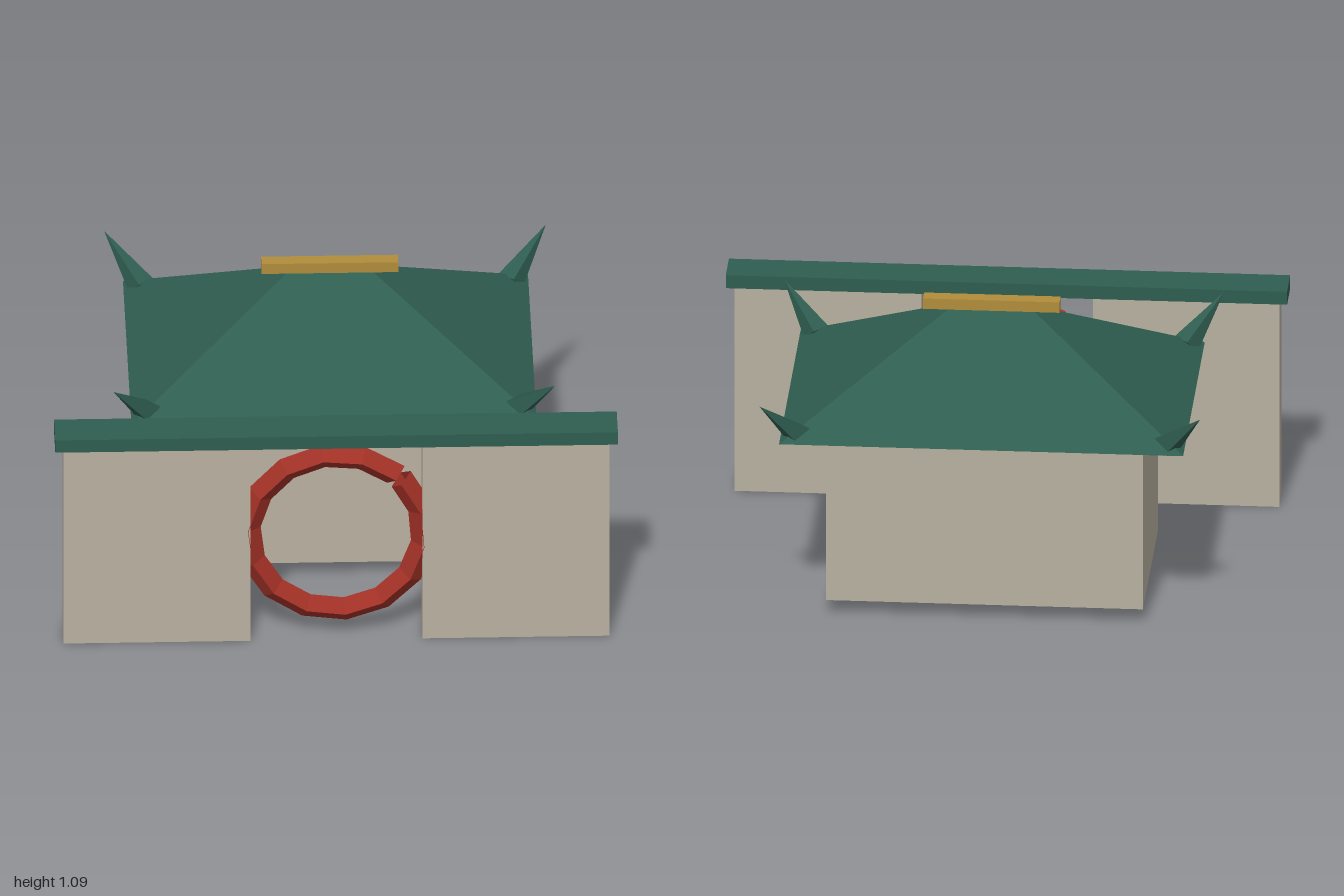
import * as THREE from 'three';

const material = (name, color, extra = {}) => {
  const m = new THREE.MeshStandardMaterial({ color, flatShading: true, ...extra });
  m.name = name;
  return m;
};

export function createModel() {
  const plaster = material('plaster', 0xb8b0a0);
  const tile = material('green tile', 0x2f5d50);
  const red = material('red lacquer', 0xa03026, { side: THREE.DoubleSide });
  const gold = material('gold', 0xb08d3c);

  const model = new THREE.Group();
  model.name = 'gatehouse';
  const add = (name, geometry, mat, x, y, z) => {
    const mesh = new THREE.Mesh(geometry, mat);
    mesh.name = name;
    mesh.position.set(x, y, z);
    model.add(mesh);
    return mesh;
  };

  // Front wall in two halves under a long coping
  for (const [name, side] of [['leftWall', 1], ['rightWall', -1]]) {
    add(name, new THREE.BoxGeometry(0.665, 0.8, 0.09), plaster, side * 0.638, 0.4, 0.64);
  }
  add('wallCoping', new THREE.BoxGeometry(2, 0.05, 0.15), tile, 0, 0.822, 0.637);

  // Round moon gate, with a small gap at its upper left
  const ring = add('moonGate', new THREE.TorusGeometry(0.315, 0.046, 4, 14, 6.2), red, 0, 0.415, 0.64);
  ring.rotation.z = THREE.MathUtils.degToRad(47.5);

  // Hall body
  const hallZ = -0.13;
  add('hall', new THREE.BoxGeometry(1.13, 0.665, 0.715), plaster, 0, 0.3875, hallZ);

  // Hipped roof: a box whose top corners are drawn in to a short ridge
  const roof = new THREE.BoxGeometry(1.44, 0.33, 1.03);
  const p = roof.attributes.position;
  for (let i = 0; i < p.count; i++) {
    if (p.getY(i) > 0) p.setXYZ(i, Math.sign(p.getX(i)) * 0.155, p.getY(i), Math.sign(p.getZ(i)) * 0.026);
  }
  roof.computeVertexNormals();
  add('roof', roof, tile, 0, 0.885, hallZ);
  add('roofRidge', new THREE.BoxGeometry(0.486, 0.04, 0.054), gold, 0, 1.07, hallZ);

  // Upturned four-sided horns at the eaves corners
  const horn = new THREE.ConeGeometry(0.05, 0.238, 4, 1, false, Math.PI / 4);
  horn.translate(0, 0.119, 0);
  for (const sx of [-1, 1]) {
    for (const sz of [-1, 1]) {
      const name = (sz > 0 ? 'front' : 'back') + (sx > 0 ? 'Left' : 'Right') + 'Horn';
      const mesh = add(name, horn, tile, sx * 0.657, 0.735, hallZ + sz * 0.45);
      mesh.rotation.set(0.86, Math.atan2(sx * 0.128, sz * 0.127), 0, 'YXZ');
    }
  }
  return model;
}
